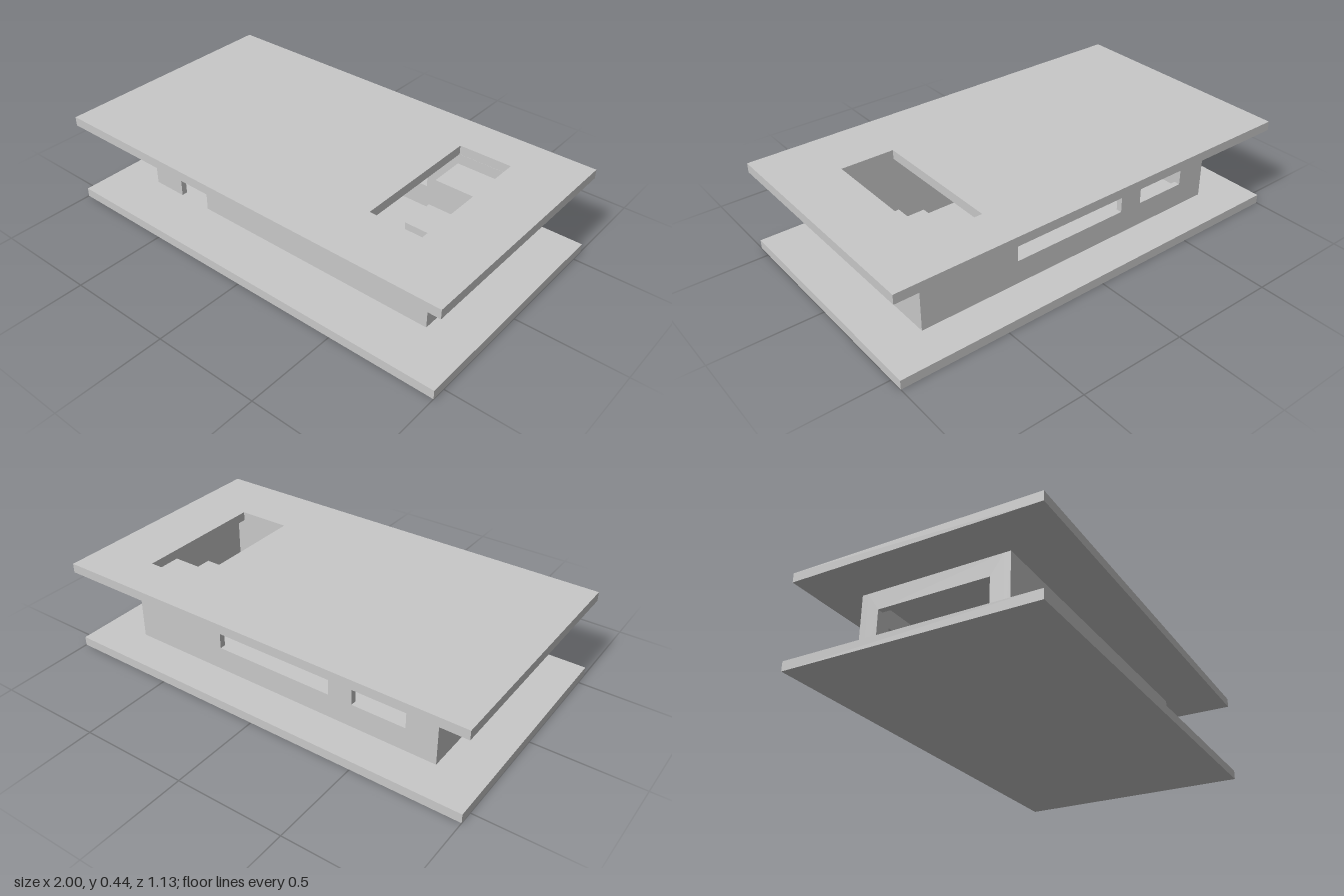
import * as THREE from 'three';

const concrete = new THREE.MeshStandardMaterial({ color: 0xc8c8c8 });
concrete.name = 'concreteGrey';

const SLAB = 0.043;               // floor and roof thickness
const ROOF_TOP = 0.435;
const CEILING = ROOF_TOP - SLAB;
const WALL = 0.028;               // wall thickness
const SILL = 0.155, HEAD = 0.305; // window bottom and top
const X = 0.785, BACK = -0.385, FRONT = 0.31;

const rect = (a, b, c, d) => [[a, b], [c, b], [c, d], [a, d]];
const toPoints = (list) => list.map(([u, v]) => new THREE.Vector2(u, v));

// Flat panel in the xy plane with rectangular openings, thickness along +z
function panel(outline, openings, thickness) {
  const shape = new THREE.Shape(toPoints(outline));
  for (const o of openings) shape.holes.push(new THREE.Path(toPoints(rect(...o)).reverse()));
  return new THREE.ExtrudeGeometry(shape, { depth: thickness, bevelEnabled: false });
}

export function createModel() {
  const group = new THREE.Group();
  const add = (name, geometry) => {
    const mesh = new THREE.Mesh(geometry, concrete);
    mesh.name = name;
    group.add(mesh);
  };

  // Floor slab, and roof slab with the stair opening
  add('floorSlab', new THREE.BoxGeometry(2, SLAB, 1.13).translate(0, SLAB / 2, 0));
  add('roofSlab', panel(rect(-1, -0.565, 1, 0.565), [[0.465, -0.358, 0.715, 0.278]], SLAB)
    .rotateX(Math.PI / 2).translate(0, ROOF_TOP, 0));

  // Front wall, notched for the doorway
  const doorLeft = -0.615, doorRight = -0.445;
  add('frontWall', panel([
    [-X, SLAB], [doorLeft, SLAB], [doorLeft, HEAD], [doorRight, HEAD], [doorRight, SLAB],
    [X, SLAB], [X, CEILING], [-X, CEILING],
  ], [], WALL).translate(0, 0, FRONT - WALL));

  // Back wall with a wide and a narrow window
  add('backWall', panel(rect(-X, SLAB, X, CEILING), [
    [-0.27, SILL, 0.31, HEAD],
    [-0.64, SILL, -0.385, HEAD],
  ], WALL).translate(0, 0, BACK));

  // Side walls: a window on the -x side, solid on the +x side
  const sideOutline = rect(BACK + WALL, SLAB, FRONT - WALL, CEILING);
  add('windowSideWall', panel(sideOutline, [[-0.3, SILL, 0.22, HEAD]], WALL)
    .rotateY(-Math.PI / 2).translate(-X + WALL, 0, 0));
  add('solidSideWall', panel(sideOutline, [], WALL)
    .rotateY(-Math.PI / 2).translate(X, 0, 0));

  // Floating stair treads rising towards the back, fixed to the solid side wall
  const treadLeft = 0.475, treadRight = X - WALL, treadHeight = 0.043;
  for (let i = 0; i < 3; i++) {
    const top = 0.15 + i * 0.105;
    add('stairTread', new THREE.BoxGeometry(treadRight - treadLeft, treadHeight, 0.17)
      .translate((treadLeft + treadRight) / 2, top - treadHeight / 2, 0.165 - i * 0.207));
  }
  return group;
}
